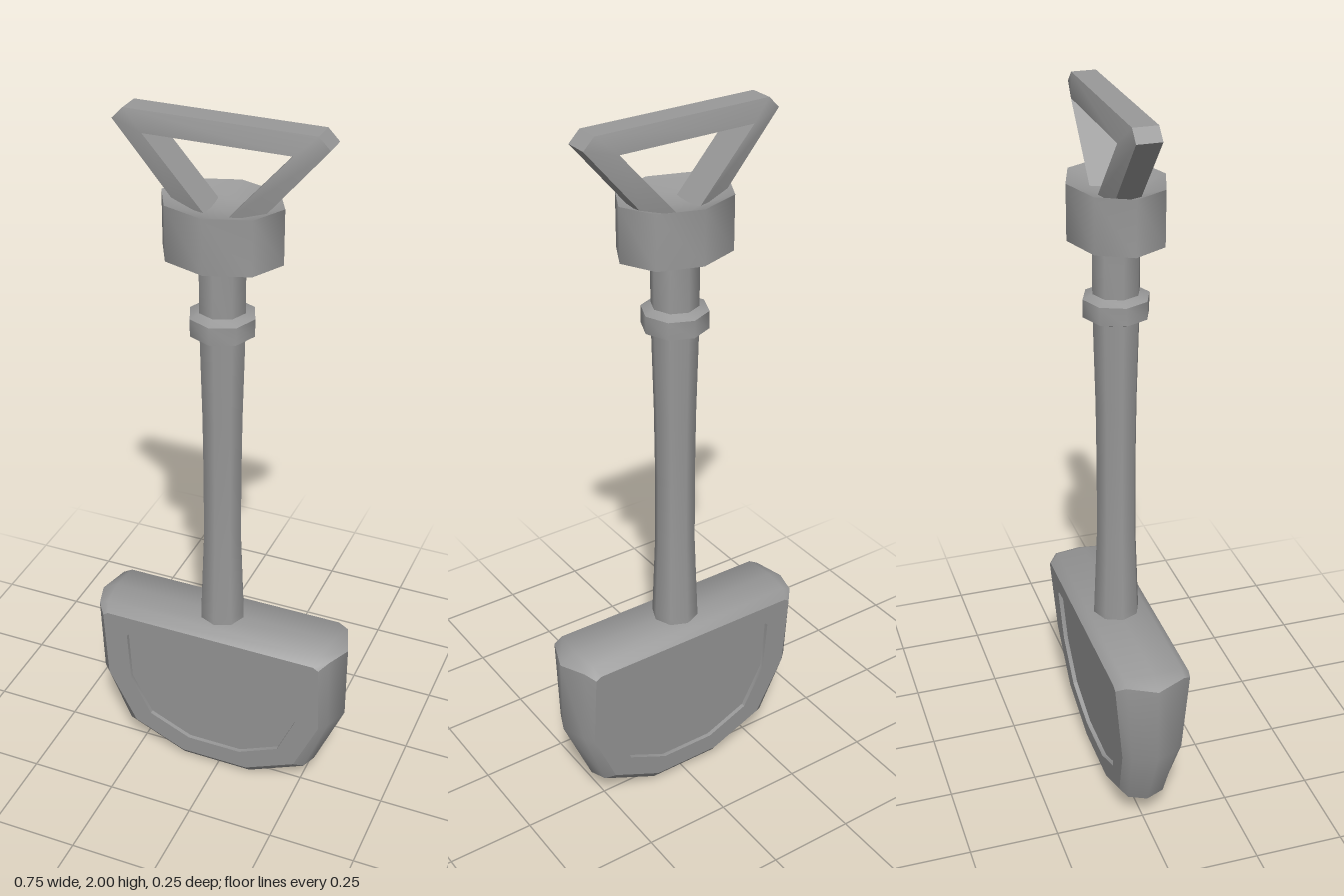
import * as THREE from 'three';
import { toCreasedNormals } from 'three/addons/utils/BufferGeometryUtils.js';

const grey = new THREE.MeshStandardMaterial({ color: 0x999999 });
const ROUND = 1.05; // keeps eight-sided curves smooth
const SHARP = 0.6; // keeps bevels crisp

function part(name, geometry, crease) {
  const mesh = new THREE.Mesh(toCreasedNormals(geometry, crease), grey);
  mesh.name = name;
  return mesh;
}

// Skin a series of equal-length rings (or open strips), optionally capping the ends.
function loft(rings, { closed = true, start = false, end = false } = {}) {
  const n = rings[0].length, pos = [];
  const tri = (a, b, c) => pos.push(...a, ...b, ...c);
  const cap = (ring, flip) => {
    const c = [0, 1, 2].map((k) => ring.reduce((s, p) => s + p[k], 0) / n);
    ring.forEach((p, j) => {
      const q = ring[(j + 1) % n];
      if (flip) tri(c, q, p);
      else tri(c, p, q);
    });
  };
  for (let i = 0; i < rings.length - 1; i++) {
    const lo = rings[i], hi = rings[i + 1];
    for (let j = 0; j < (closed ? n : n - 1); j++) {
      const k = (j + 1) % n;
      tri(lo[j], lo[k], hi[k]);
      tri(lo[j], hi[k], hi[j]);
    }
  }
  if (start) cap(rings[0], true);
  if (end) cap(rings[rings.length - 1], false);
  const g = new THREE.BufferGeometry();
  g.setAttribute('position', new THREE.Float32BufferAttribute(pos, 3));
  return g;
}

// Eight-sided turned part from [radius, y] pairs, bottom to top.
function turned(profile) {
  return new THREE.LatheGeometry(profile.map(([r, y]) => new THREE.Vector2(r, y)), 8);
}

// Blade: half outlines (bottom to top) from the rim inward; depth tapers towards the tip.
function makeBlade() {
  const rim = [[0.11, 0], [0.29, 0.095], [0.375, 0.3], [0.375, 0.525], [0.33, 0.55]];
  const bevel = [[0.105, 0.018], [0.275, 0.102], [0.347, 0.295], [0.347, 0.535], [0.32, 0.55]];
  const face = [[0.1, 0.04], [0.25, 0.115], [0.325, 0.29], [0.325, 0.517], [0.31, 0.527]];
  const panel = [[0.08, 0.1], [0.2, 0.16], [0.255, 0.29], [0.255, 0.457], [0.242, 0.47]];
  const depth = (y) => 0.062 + (y - 0.04) * 0.089;
  const ring = (half, sign, scale, sink = 0) => {
    const at = (x, y) => [x, y, sign * (depth(y) * scale - sink)];
    return [...half.map(([x, y]) => at(x, y)), ...[...half].reverse().map(([x, y]) => at(-x, y))];
  };
  const blade = new THREE.Group();
  blade.name = 'blade';

  // Rounded edge, split at the blade's corners
  const edge = [ring(face, -1, 1), ring(bevel, -1, 0.75), ring(rim, 1, 0), ring(bevel, 1, 0.75), ring(face, 1, 1)];
  const runs = { bottomEdge: [8, 9, 0, 1], leftEdge: [1, 2, 3], topEdge: [3, 4, 5, 6], rightEdge: [6, 7, 8] };
  for (const [name, run] of Object.entries(runs)) {
    const strips = edge.map((r) => run.map((i) => r[i]));
    blade.add(part(name, loft(strips, { closed: false }), ROUND));
  }

  // Flat faces with a shallow sunken panel
  const side = (s) => [ring(face, s, 1), ring(panel, s, 1), ring(panel, s, 1, 0.012)];
  blade.add(part('frontFace', loft(side(1), { end: true }), SHARP));
  blade.add(part('backFace', loft(side(-1).reverse(), { start: true }), SHARP));
  return blade;
}

// Grip: triangular loop whose section is narrow outside and wide inside.
function gripGeometry() {
  const stations = [
    [0.1, 1.765, 0.025, 1.765],
    [0.275, 1.97, 0.19, 1.95],
    [0.245, 2, 0.19, 1.95],
  ];
  const section = ([ox, oy, ix, iy], s) => [
    [s * ox, oy, 0.024], [s * ox, oy, -0.04],
    [s * ix, iy, -0.057], [s * ix, iy, 0.04],
  ];
  return loft([
    ...stations.map((p) => section(p, 1)),
    ...[...stations].reverse().map((p) => section(p, -1)),
  ], { start: true, end: true });
}

export function createModel() {
  const model = new THREE.Group();
  model.name = 'shovel';

  model.add(makeBlade());

  // Shaft with a slightly waisted middle
  model.add(part('shaft', turned([
    [0, 0.53], [0.065, 0.53], [0.064, 0.57], [0.055, 0.8], [0.054, 1.0],
    [0.056, 1.2], [0.062, 1.44], [0.063, 1.64], [0, 1.64],
  ]), ROUND));

  model.add(part('collar', turned([
    [0.06, 1.435], [0.088, 1.447], [0.088, 1.495], [0.06, 1.508],
  ]), ROUND));

  // Oval knob with a dished top
  const knob = turned([
    [0, 1.63], [0.07, 1.63], [0.16, 1.655], [0.16, 1.8], [0.08, 1.775], [0, 1.77],
  ]);
  knob.scale(1, 1, 0.795);
  model.add(part('knob', knob, ROUND));

  model.add(part('grip', gripGeometry(), SHARP));
  return model;
}
